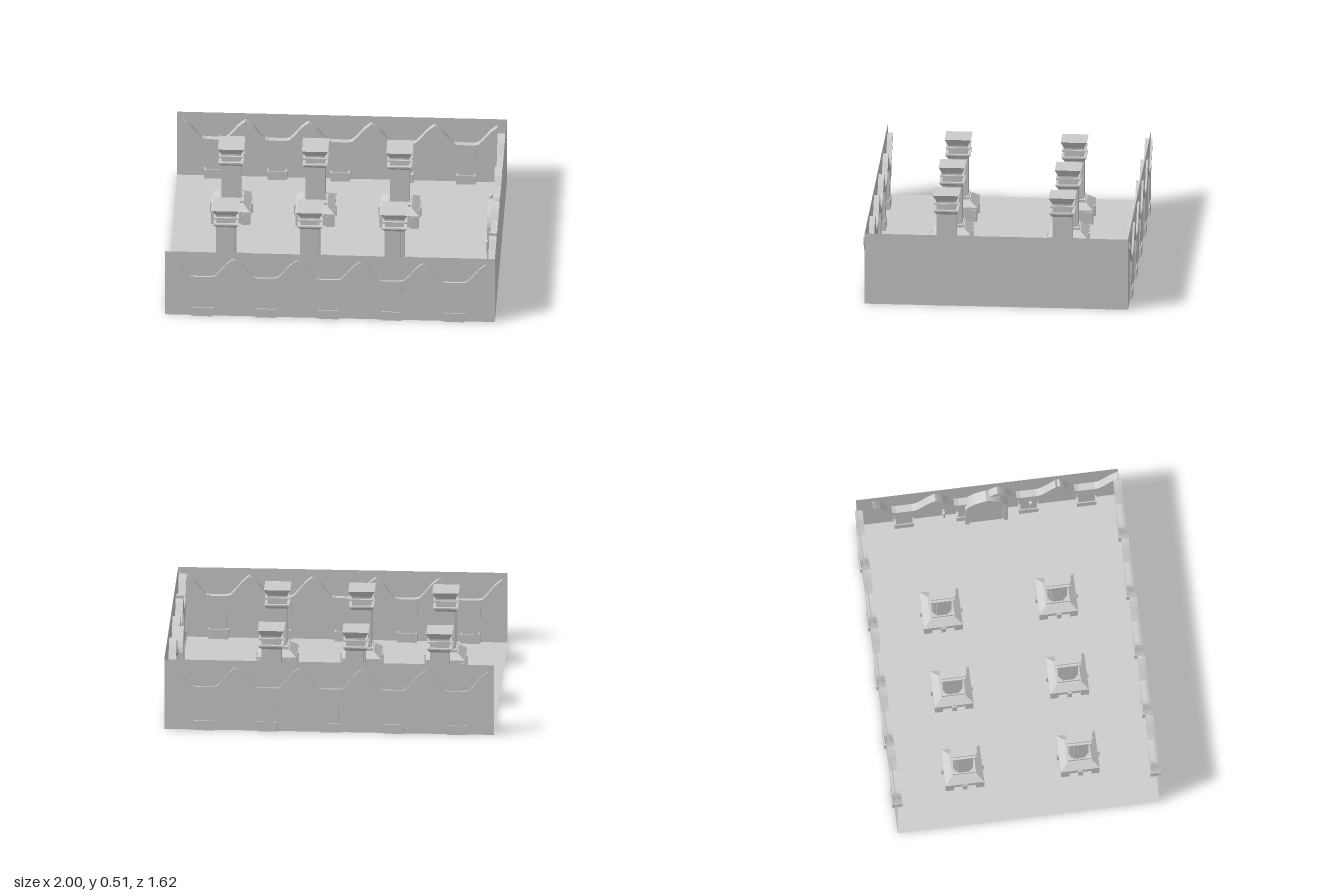
import * as THREE from 'three';

const stone = new THREE.MeshStandardMaterial({ color: 0xcccccc, flatShading: true });
const sheet = new THREE.MeshStandardMaterial({ color: 0xcccccc, flatShading: true, side: THREE.DoubleSide });

function add(parent, name, geometry, x = 0, y = 0, z = 0, material = stone) {
  const mesh = new THREE.Mesh(geometry, material);
  mesh.name = name;
  mesh.position.set(x, y, z);
  parent.add(mesh);
  return mesh;
}

// Box from its half widths and height range
function block(parent, name, hx, hz, y0, y1, x = 0, z = 0) {
  return add(parent, name, new THREE.BoxGeometry(hx * 2, y1 - y0, hz * 2), x, (y0 + y1) / 2, z);
}

// Square tapering slab
function taper(parent, name, bottom, top, y0, y1) {
  const g = new THREE.CylinderGeometry(top * Math.SQRT2, bottom * Math.SQRT2, y1 - y0, 4);
  g.rotateY(Math.PI / 4);
  return add(parent, name, g, 0, (y0 + y1) / 2, 0);
}

function extrude(shape, depth) {
  const g = new THREE.ExtrudeGeometry(shape, { depth, bevelEnabled: false, curveSegments: 6 });
  return g.translate(0, 0, -depth / 2);
}

// One branching rib: a flat valley above the pier, rising to a peak on each side
function ribShape(reach) {
  const upper = [[0.05, 0.28], [0.075, 0.287], [0.105, 0.32], [0.145, 0.372], [0.17, 0.395], [reach, 0.41]];
  const lower = [[reach, 0.372], [0.165, 0.358], [0.13, 0.325], [0.065, 0.255], [0.055, 0.24]];
  const right = [...upper, ...lower];
  const left = right.map(([x, y]) => [-x, y]).reverse();
  return new THREE.Shape([...right, ...left].map(([x, y]) => new THREE.Vector2(x, y)));
}

// Blind arcade along local x, with a pier at each centre
function arcade(name, centres) {
  const group = new THREE.Group();
  group.name = name;
  const rib = extrude(ribShape(0.191), 0.046);
  for (const x of centres) {
    const pier = new THREE.Group();
    pier.name = 'archPier';
    pier.position.x = x;
    block(pier, 'pierBase', 0.06, 0.023, 0, 0.06);
    block(pier, 'pierShaft', 0.05, 0.017, 0.06, 0.17);
    block(pier, 'pierBand', 0.06, 0.021, 0.165, 0.18);
    block(pier, 'pierCapital', 0.061, 0.022, 0.18, 0.262);
    add(pier, 'archRibs', rib);
    group.add(pier);
  }
  return group;
}

// Square pillar with a panelled pedestal and a stepped, flared capital
function pillar(x, z) {
  const p = new THREE.Group();
  p.name = 'pillar';
  p.position.set(x, 0, z);
  block(p, 'pedestalCore', 0.1, 0.1, 0, 0.085);
  for (const sx of [-1, 1]) for (const sz of [-1, 1]) {
    block(p, 'cornerPost', 0.025, 0.025, 0, 0.075, sx * 0.093, sz * 0.093);
  }
  for (const s of [-1, 1]) {
    block(p, 'sideBracket', 0.014, 0.012, 0.02, 0.085, 0, s * 0.117);
    block(p, 'sideBracket', 0.012, 0.014, 0.02, 0.085, s * 0.117, 0);
  }
  block(p, 'pedestalRim', 0.12, 0.12, 0.078, 0.092);
  taper(p, 'pedestalSlope', 0.118, 0.075, 0.092, 0.125);
  block(p, 'shaftFoot', 0.068, 0.068, 0.125, 0.14);

  // Shaft with stepped corners
  block(p, 'shaftCore', 0.05, 0.05, 0.14, 0.41);
  block(p, 'shaftFace', 0.06, 0.036, 0.14, 0.41);
  block(p, 'shaftFace', 0.036, 0.06, 0.14, 0.41);

  taper(p, 'capitalNeck', 0.06, 0.074, 0.385, 0.405);
  block(p, 'capitalLowerLedge', 0.076, 0.076, 0.405, 0.414);
  block(p, 'capitalThroat', 0.058, 0.058, 0.414, 0.447);
  block(p, 'capitalUpperLedge', 0.073, 0.073, 0.447, 0.457);
  block(p, 'capitalStep', 0.06, 0.06, 0.457, 0.468);
  taper(p, 'capitalTop', 0.06, 0.08, 0.468, 0.51);
  return p;
}

// Pointed door leaf with a raised surround
function door() {
  const g = new THREE.Group();
  g.name = 'door';
  const outline = (w, side, top) => {
    const s = new THREE.Shape();
    s.moveTo(-w, 0);
    s.lineTo(w, 0);
    s.lineTo(w, side);
    s.quadraticCurveTo(w * 0.8, side + (top - side) * 0.75, 0, top);
    s.quadraticCurveTo(-w * 0.8, side + (top - side) * 0.75, -w, side);
    return s;
  };
  const frame = outline(0.13, 0.25, 0.37);
  frame.holes.push(outline(0.105, 0.235, 0.342));
  add(g, 'doorFrame', extrude(frame, 0.07));
  add(g, 'doorLeaf', extrude(outline(0.11, 0.24, 0.345), 0.05));
  return g;
}

// Small wall lamp
function sconce() {
  const g = new THREE.Group();
  g.name = 'sconce';
  add(g, 'lampArm', new THREE.BoxGeometry(0.012, 0.012, 0.05), 0, 0.17, -0.02);
  add(g, 'lampStem', new THREE.CylinderGeometry(0.009, 0.005, 0.07, 6), 0, 0.19, 0);
  add(g, 'lampBowl', new THREE.SphereGeometry(0.013, 8, 6), 0, 0.232, 0);
  return g;
}

export function createModel() {
  const model = new THREE.Group();
  model.name = 'pillaredHall';

  // Thin floor and three walls, open on the -x side
  add(model, 'floor', new THREE.PlaneGeometry(2, 1.6).rotateX(-Math.PI / 2), 0, 0, 0, sheet);
  for (const s of [1, -1]) {
    add(model, 'longWall', new THREE.PlaneGeometry(2, 0.45), 0, 0.225, s * 0.8, sheet);
    const side = arcade('longArcade', [-0.774, -0.391, -0.009, 0.374, 0.755]);
    side.position.z = s * 0.789;
    model.add(side);
  }
  add(model, 'endWall', new THREE.PlaneGeometry(1.6, 0.45).rotateY(Math.PI / 2), 1, 0.225, 0, sheet);

  // End wall fittings: local x runs along z, local +z faces into the hall
  const end = new THREE.Group();
  end.name = 'endWallFittings';
  end.rotation.y = -Math.PI / 2;
  end.position.x = 0.972;
  end.add(arcade('endArcade', [-0.51, -0.13, 0.25, 0.605]));
  const entrance = door();
  entrance.position.set(-0.01, 0, 0.015);
  end.add(entrance);
  for (const x of [-0.27, 0.26]) {
    const lamp = sconce();
    lamp.position.set(x, 0, 0.043);
    end.add(lamp);
  }
  model.add(end);

  // Two rows of pillars
  for (const z of [0.345, -0.36]) for (const x of [-0.65, -0.14, 0.372]) model.add(pillar(x, z));
  return model;
}
